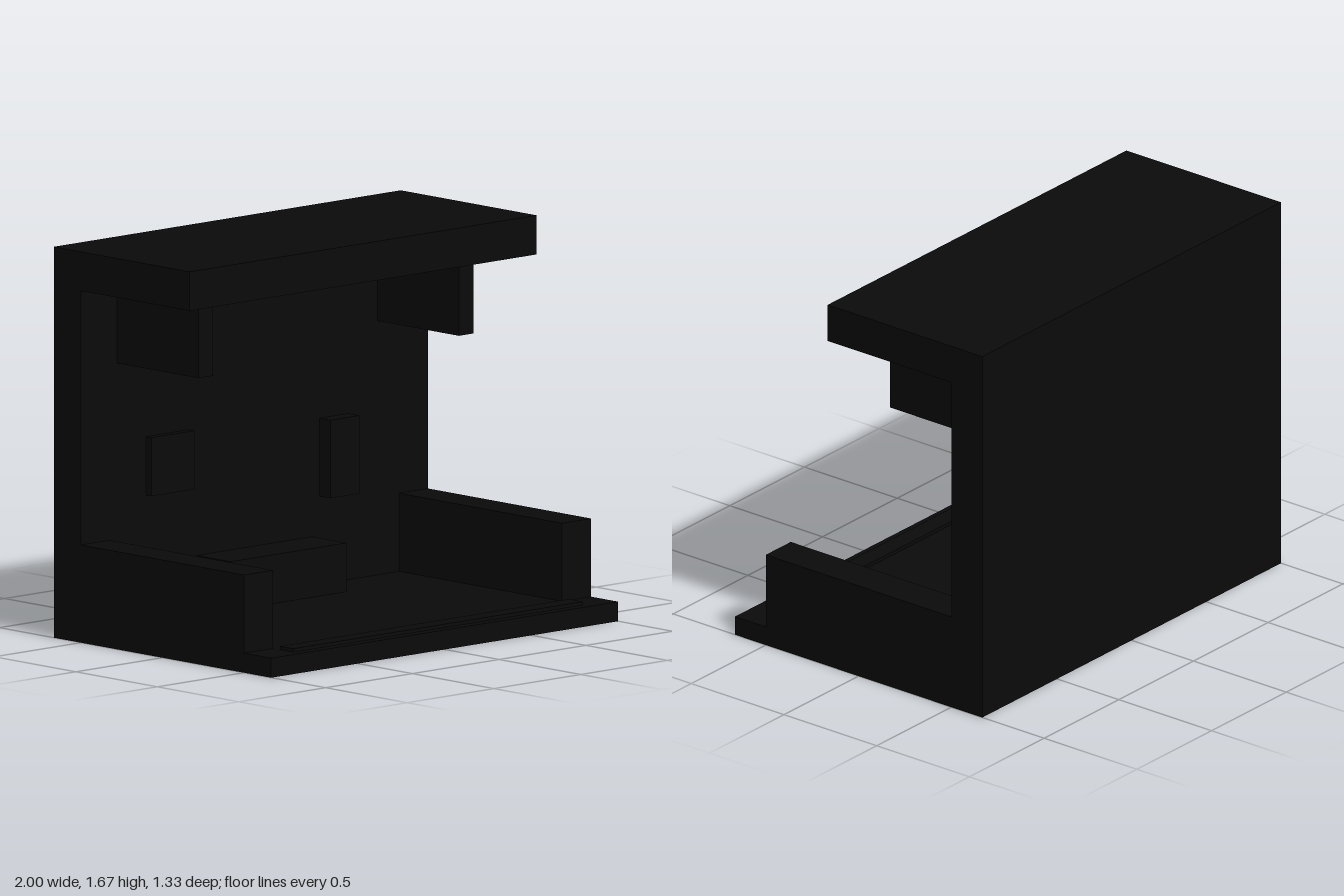
import * as THREE from 'three';

// All dimensions are laid out in whole and quarter modules of 1/6 unit.
const U = 1 / 6;

export function createModel() {
  const group = new THREE.Group();
  group.name = 'openStall';
  const black = new THREE.MeshStandardMaterial({ color: 0x0a0a0a });
  black.name = 'nearBlack';

  // Box given by its min and max extents, in modules
  function block(name, [x0, x1], [y0, y1], [z0, z1]) {
    const geometry = new THREE.BoxGeometry((x1 - x0) * U, (y1 - y0) * U, (z1 - z0) * U);
    const mesh = new THREE.Mesh(geometry, black);
    mesh.name = name;
    mesh.position.set((x0 + x1) / 2 * U, (y0 + y1) / 2 * U, (z0 + z1) / 2 * U);
    group.add(mesh);
  }

  // Main shell
  block('floor', [-6, 6], [0, 0.5], [-4, 4]);
  block('backWall', [-6, 6], [0.5, 9], [-4, -3]);
  block('roof', [-6, 6], [9, 10], [-4, 1]);

  // Low side walls and roof brackets, mirrored
  for (const [side, s] of [['left', 1], ['right', -1]]) {
    const span = (a, b) => (s > 0 ? [a, b] : [-b, -a]);
    block(side + 'SideWall', span(5, 6), [0.5, 2.5], [-3, 3]);
    block(side + 'RoofBracket', span(4.25, 4.75), [7, 9], [-3, 0]);
  }

  // Bench against the back wall and threshold strip at the front edge
  block('bench', [-2, 2], [0.5, 1.75], [-3, -1.75]);
  block('thresholdStrip', [-5, 5], [0.5, 0.59], [3.25, 3.75]);

  // Panels fixed to the back wall
  block('squareWallPanel', [-3.75, -2.25], [3.5, 5], [-3, -2.8]);
  block('tallWallBox', [2.25, 3.25], [2.75, 4.75], [-3, -2.6]);

  return group;
}
